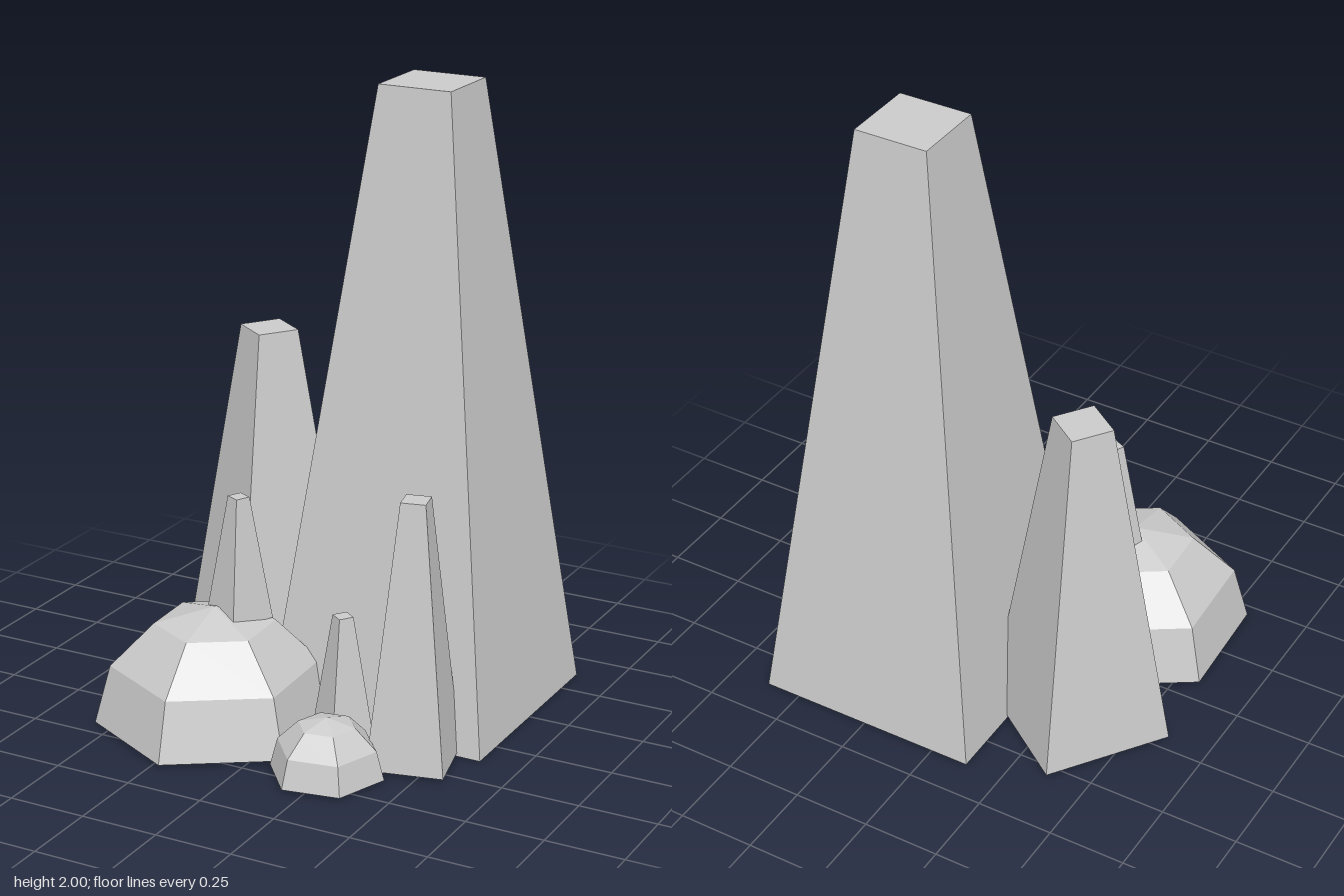
import * as THREE from 'three';

const stone = new THREE.MeshStandardMaterial({ color: 0xcccccc, flatShading: true });
const shell = new THREE.MeshStandardMaterial({ color: 0xcccccc, flatShading: true, side: THREE.DoubleSide });

// Four-sided tapering spire; r is the base half-diagonal, turn points one corner away from +z
function spire(name, x, z, y0, y1, r, turn) {
  const mesh = new THREE.Mesh(new THREE.CylinderGeometry(r * 0.324, r, y1 - y0, 4), stone);
  mesh.name = name;
  mesh.position.set(x, (y0 + y1) / 2, z);
  mesh.rotation.y = turn;
  return mesh;
}

// Six-sided half-sphere, open underneath
function dome(name, x, z, y0, r, turn) {
  const geometry = new THREE.SphereGeometry(r, 6, 3, 0, Math.PI * 2, 0, Math.PI / 2);
  const mesh = new THREE.Mesh(geometry, shell);
  mesh.name = name;
  mesh.position.set(x, y0, z);
  mesh.rotation.y = turn - Math.PI / 2;
  return mesh;
}

export function createModel() {
  const group = new THREE.Group();
  group.name = 'rockSpires';
  group.add(
    // Spires standing on the ground
    spire('tallSpire', 0.245, -0.253, 0, 2, 0.525, Math.PI / 4),
    spire('mediumSpire', -0.32, -0.255, 0.01, 1.15, 0.298, 0.168),
    spire('slimSpire', 0.437, 0.214, 0.01, 0.85, 0.17, 1.015),
    spire('smallSpire', 0.187, 0.2, 0.01, 0.425, 0.104, 0.163),
    // Rounded boulders, the larger with a spire on top
    dome('largeBoulder', -0.24, 0.244, 0.01, 0.379, 0.05),
    spire('boulderSpire', -0.188, 0.179, 0.345, 0.74, 0.105, 0.327),
    dome('smallBoulder', 0.25, 0.422, 0.01, 0.181, 0.7)
  );
  return group;
}
